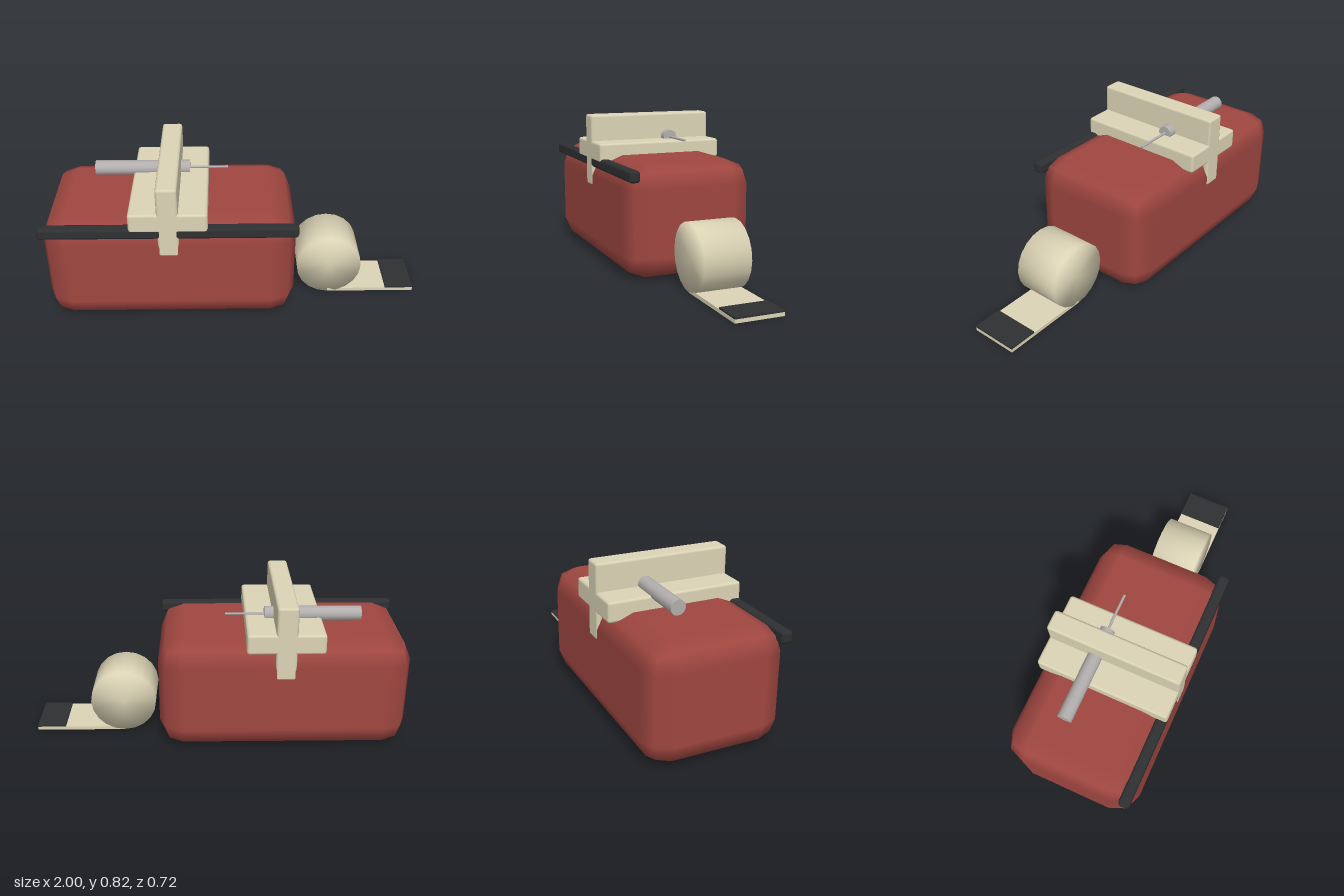
import * as THREE from 'three';
import { RoundedBoxGeometry } from 'three/addons/geometries/RoundedBoxGeometry.js';
import { mergeVertices } from 'three/addons/utils/BufferGeometryUtils.js';

const material = (name, color) => {
  const m = new THREE.MeshStandardMaterial({ color });
  m.name = name;
  return m;
};

export function createModel() {
  const model = new THREE.Group();
  const red = material('brick red', 0x9f4640);
  const cream = material('cream', 0xdcd4b6);
  const black = material('charcoal', 0x2f3032);
  const silver = material('silver', 0xb3afae);

  const add = (name, geometry, mat, x = 0, y = 0, z = 0) => {
    const mesh = new THREE.Mesh(geometry, mat);
    mesh.name = name;
    mesh.position.set(x, y, z);
    model.add(mesh);
    return mesh;
  };

  // Box from its minimum and maximum corners, rounded when a radius is given
  const box = (name, mat, a, b, radius = 0) => {
    const s = b.map((v, i) => v - a[i]);
    const c = b.map((v, i) => (v + a[i]) / 2);
    const geometry = radius
      ? new RoundedBoxGeometry(s[0], s[1], s[2], 1, radius)
      : new THREE.BoxGeometry(...s);
    return add(name, geometry, mat, ...c);
  };

  // Rod lying along x
  const rod = (name, r, x0, x1, sides) => {
    const geometry = new THREE.CylinderGeometry(r, r, x1 - x0, sides).rotateZ(Math.PI / 2);
    add(name, geometry, silver, (x0 + x1) / 2, 0.684, -0.1);
  };

  // Soft-edged main body and the bar along its upper front edge
  box('body', red, [-0.997, 0, -0.355], [0.315, 0.606, 0.355], 0.126);
  box('frontBar', black, [-1, 0.526, 0.297], [0.32, 0.588, 0.3565], 0.016);

  // Cross-shaped handle
  box('handleBase', cream, [-0.54, 0.566, -0.3575], [-0.14, 0.673, 0.3575], 0.014);
  box('handleUpright', cream, [-0.395, 0.42, -0.358], [-0.287, 0.818, 0.358], 0.014);

  // Rod through the handle with a thin needle
  rod('rod', 0.039, -0.745, -0.24, 12);
  rod('needle', 0.007, -0.24, -0.035, 8);

  // Roll with normals blended over its rims
  let roll = new THREE.CylinderGeometry(0.177, 0.177, 0.254, 20).rotateX(Math.PI / 2);
  roll.deleteAttribute('normal');
  roll.deleteAttribute('uv');
  roll = mergeVertices(roll);
  roll.computeVertexNormals();
  add('roll', roll, cream, 0.518, 0.178, 0);

  // Flat strip leaving the roll, with a dark end pad
  box('strip', cream, [0.52, 0, -0.127], [1, 0.019, 0.127]);
  box('stripEnd', black, [0.846, 0.019, -0.127], [1, 0.028, 0.127]);

  return model;
}
